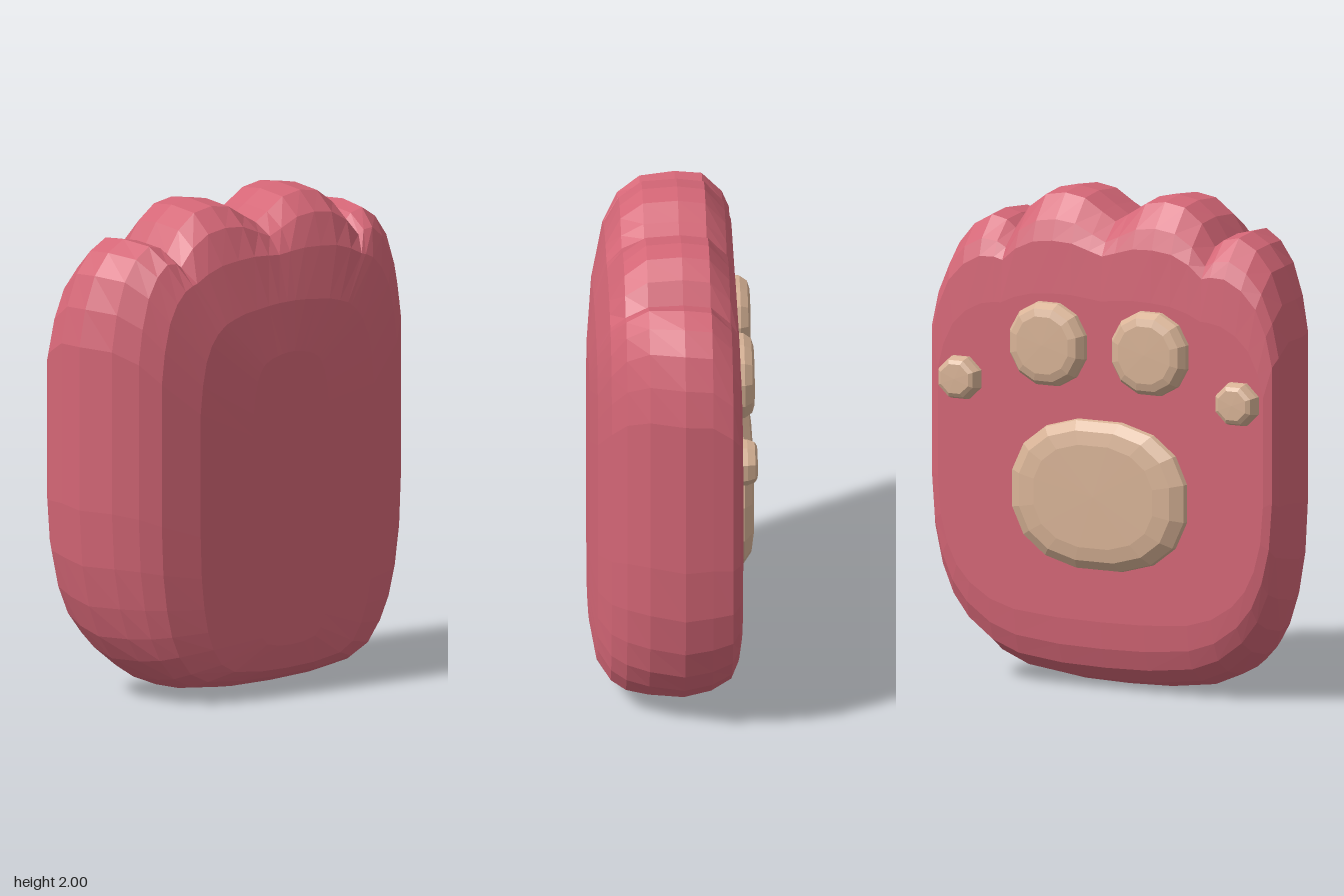
import * as THREE from 'three';

const plush = new THREE.MeshStandardMaterial({ color: 0xd46676 });
plush.name = 'rose plush';
const padTan = new THREE.MeshStandardMaterial({ color: 0xd9b497 });
padTan.name = 'pad tan';

// Skin closed rings (ordered along +x) and close both ends with fans; faceted normals.
function loft(rings, firstTip, lastTip) {
  const pos = [];
  const tri = (...pts) => pts.forEach((p) => pos.push(...p));
  const n = rings[0].length;
  for (let j = 0; j < n; j++) {
    const k = (j + 1) % n;
    for (let i = 0; i < rings.length - 1; i++) {
      const a = rings[i][j], b = rings[i][k], c = rings[i + 1][j], d = rings[i + 1][k];
      tri(a, c, b);
      tri(b, c, d);
    }
    tri(firstTip, rings[0][j], rings[0][k]);
    const last = rings[rings.length - 1];
    tri(lastTip, last[k], last[j]);
  }
  const geo = new THREE.BufferGeometry();
  geo.setAttribute('position', new THREE.Float32BufferAttribute(pos, 3));
  geo.computeVertexNormals();
  return geo;
}

function addMesh(group, name, geo, mat) {
  const mesh = new THREE.Mesh(geo, mat);
  mesh.name = name;
  group.add(mesh);
}

// Half outline of the paw from bottom centre to top centre: z, y with toes, y without toes.
const outline = [
  [0, 0], [0.2, 0.005], [0.4, 0.03], [0.52, 0.08], [0.63, 0.17], [0.7, 0.27],
  [0.75, 0.4], [0.785, 0.57], [0.8, 0.8], [0.8, 1.15], [0.8, 1.47], [0.77, 1.62],
  [0.72, 1.75], [0.65, 1.835], [0.57, 1.88, 1.89], [0.5, 1.865, 1.92],
  [0.46, 1.835, 1.935], [0.4, 1.925, 1.955], [0.32, 1.985, 1.975], [0.23, 2, 1.985],
  [0.14, 1.985, 1.995], [0.06, 1.935, 2], [0, 1.9, 2],
];

// Slices through the thickness: x, half width, bottom, top, strength of the toes.
const slices = [
  [-0.27, 0.75, 0.28, 1.6, 0.3],
  [-0.258, 0.785, 0.17, 1.81, 0.6],
  [-0.23, 0.8, 0.09, 1.89, 0.85],
  [-0.15, 0.8, 0.03, 1.985, 1],
  [-0.04, 0.797, 0, 2, 1],
  [0.1, 0.745, 0.01, 1.99, 1],
  [0.19, 0.68, 0.03, 1.92, 0.75],
  [0.25, 0.61, 0.06, 1.8, 0.2],
  [0.3, 0.45, 0.1, 1.6, 0],
  [0.325, 0.2, 0.2, 1.4, 0],
];

function bodySlice([x, half, bottom, top, toes]) {
  // Toe valleys keep their place while the outer flank narrows.
  const inner = Math.min(0.46, half * 0.7);
  const side = outline.map(([z, yToe, ySmooth = yToe]) => {
    const y = THREE.MathUtils.lerp(ySmooth, yToe, toes);
    const w = z <= 0.46 ? (z / 0.46) * inner : inner + ((z - 0.46) / 0.34) * (half - inner);
    return [x, bottom + (y / 2) * (top - bottom), w];
  });
  const mirrored = side.slice(1, -1).reverse().map(([px, y, z]) => [px, y, -z]);
  return [...side, ...mirrored];
}

// Flat-topped rounded pad on the -x face; power below 1 squares the oval.
function padGeometry(y, z, halfH, halfW, sides, power) {
  const bend = (v) => Math.sign(v) * Math.pow(Math.abs(v), power);
  const levels = [[-0.33, 0.68], [-0.32, 0.86], [-0.29, 0.98], [-0.26, 1]];
  const rings = levels.map(([x, s]) => Array.from({ length: sides }, (_, i) => {
    const t = ((i + 0.5) / sides) * Math.PI * 2;
    return [x, y - bend(Math.cos(t)) * halfH * s, z + bend(Math.sin(t)) * halfW * s];
  }));
  return loft(rings, [-0.332, y, z], [-0.26, y, z]);
}

export function createModel() {
  const model = new THREE.Group();
  model.name = 'pawCushion';

  addMesh(model, 'pawBody', loft(slices.map(bodySlice), [-0.27, 0.95, 0], [0.328, 0.85, 0]), plush);

  addMesh(model, 'palmPad', padGeometry(0.795, 0, 0.31, 0.41, 16, 0.85), padTan);
  for (const s of [-1, 1]) {
    const side = s > 0 ? 'Front' : 'Back';
    addMesh(model, `innerToePad${side}`, padGeometry(1.39, s * 0.235, 0.175, 0.18, 12, 0.95), padTan);
    addMesh(model, `outerToePad${side}`, padGeometry(1.22, s * 0.64, 0.093, 0.1, 8, 1), padTan);
  }
  return model;
}
